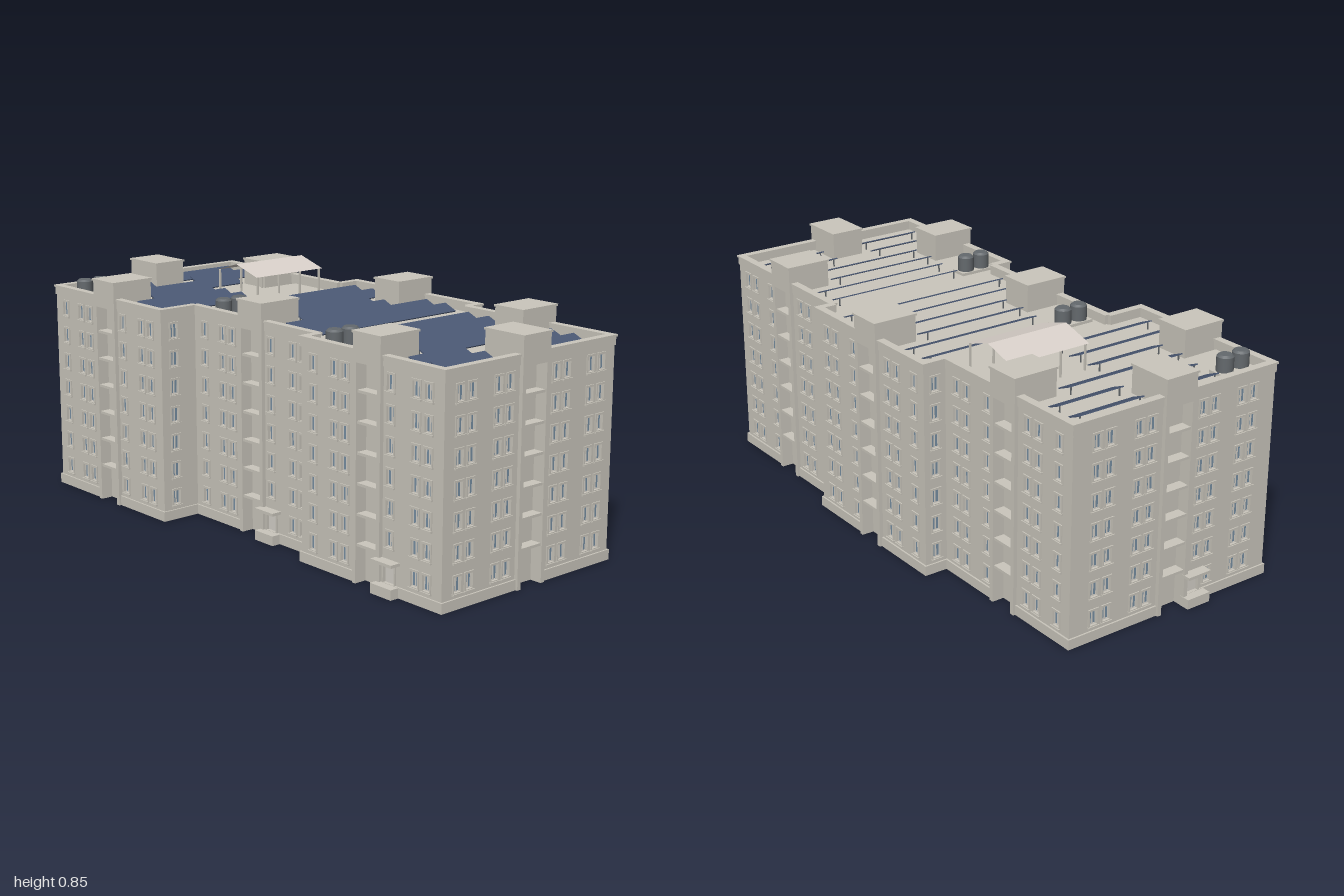
import * as THREE from 'three';
import { mergeGeometries } from 'three/addons/utils/BufferGeometryUtils.js';

const mat = (name, color, side = THREE.FrontSide) => {
  const m = new THREE.MeshStandardMaterial({ color, side });
  m.name = name;
  return m;
};
const M = {
  wall: mat('warm grey render', 0xcac6bc, THREE.DoubleSide),
  frame: mat('pale window frame', 0xd4d0c8),
  glass: mat('blue grey glass', 0x7890a4, THREE.DoubleSide),
  solar: mat('navy solar panel', 0x4a5873),
  tank: mat('dark grey tank', 0x64696d),
  canopy: mat('pale canopy', 0xd9d1ca, THREE.DoubleSide),
};

const TOP = 0.76, ROOF = 0.72, FLOORS = 7, FLOOR_H = 0.1, FIRST = 0.079;
const OPEN_W = 0.03, OPEN_H = 0.05;      // window opening
const BAY = 0.047, PIER = 0.0155, NICHE = 0.03; // half bay width, pier width, niche depth

// box given by its lower and upper corners
function box(x0, x1, y0, y1, z0, z1) {
  return new THREE.BoxGeometry(x1 - x0, y1 - y0, z1 - z0)
    .translate((x0 + x1) / 2, (y0 + y1) / 2, (z0 + z1) / 2).toNonIndexed();
}
function add(parent, name, geos, material) {
  if (!geos.length) return;
  const mesh = new THREE.Mesh(geos.length > 1 ? mergeGeometries(geos) : geos[0], material);
  mesh.name = name;
  parent.add(mesh);
}
function rect(path, x0, x1, y0, y1) {
  path.moveTo(x0, y0); path.lineTo(x1, y0); path.lineTo(x1, y1); path.lineTo(x0, y1);
  path.closePath();
  return path;
}

// moulded surround running through the wall
function surround() {
  const s = rect(new THREE.Shape(), -0.0205, 0.0205, -0.029, 0.032);
  s.holes.push(rect(new THREE.Path(), -OPEN_W / 2, OPEN_W / 2, -OPEN_H / 2, OPEN_H / 2));
  const g = new THREE.ExtrudeGeometry(s, { depth: 0.014, bevelEnabled: false }).translate(0, 0, -0.01);
  return mergeGeometries([g, box(-0.022, 0.022, -0.034, -0.028, -0.002, 0.008)]);
}
const SURROUND = surround();
const SASH = mergeGeometries([
  box(-0.0025, 0.0025, -0.025, 0.025, -0.009, -0.005),
  box(-0.015, -0.0125, -0.025, 0.025, -0.009, -0.005),
  box(0.0125, 0.015, -0.025, 0.025, -0.009, -0.005),
  box(-0.015, 0.015, 0.0225, 0.025, -0.009, -0.005),
  box(-0.015, 0.015, -0.025, -0.0225, -0.009, -0.005),
]);
const PANES = new THREE.PlaneGeometry(OPEN_W, OPEN_H).translate(0, 0, -0.007).toNonIndexed();

// One facade. rot turns local +z outward, dist is the plane's distance from the
// origin, sign maps the world coordinate to local x.
function facade(name, rot, dist, sign, a, b, windows, tower = null, door = null) {
  const g = new THREE.Group();
  g.name = name;
  g.rotation.y = rot;
  const place = new THREE.Vector3(0, 0, dist).applyAxisAngle(new THREE.Vector3(0, 1, 0), rot);
  g.position.copy(place);
  const [u0, u1] = [sign * a, sign * b].sort((p, q) => p - q);
  const t = tower === null ? null : sign * tower;
  const d = door === null ? null : sign * door;
  const wins = windows.map(w => sign * w);
  const spans = t === null ? [[u0, u1]] : [[u0, t - BAY], [t + BAY, u1]];
  const walls = [], trims = [], sashes = [], panes = [], plinths = [];

  // pierced wall panels with their windows
  for (const [p, q] of spans) {
    const s = rect(new THREE.Shape(), p, q, 0, TOP - 0.005);
    for (const u of wins.filter(w => w > p && w < q)) {
      for (let k = 0; k < FLOORS; k++) {
        if (k === 0 && d !== null && Math.abs(u - d) < 0.02) continue;
        const y = FIRST + k * FLOOR_H;
        s.holes.push(rect(new THREE.Path(), u - OPEN_W / 2, u + OPEN_W / 2, y - OPEN_H / 2, y + OPEN_H / 2));
        trims.push(SURROUND.clone().translate(u, y, 0));
        sashes.push(SASH.clone().translate(u, y, 0));
        panes.push(PANES.clone().translate(u, y, 0));
      }
    }
    if (d !== null && d > p && d < q) {
      s.holes.push(rect(new THREE.Path(), d - 0.024, d + 0.024, 0.034, 0.1));
    }
    walls.push(new THREE.ShapeGeometry(s).toNonIndexed());
    plinths.push(box(p - (p === u0 ? 0.006 : 0), q + (q === u1 ? 0.006 : 0), 0, 0.035, -0.006, 0.006));
  }
  add(g, 'wall', walls, M.wall);
  add(g, 'windowSurrounds', trims, M.wall);
  add(g, 'windowFrames', sashes, M.frame);
  add(g, 'windowGlass', panes, M.glass);
  add(g, 'plinth', plinths, M.wall);
  add(g, 'parapet', [
    box(u0 - 0.003, u1 + 0.003, 0.725, 0.753, -0.018, 0.003),
    box(u0 - 0.007, u1 + 0.007, 0.753, TOP, -0.021, 0.007),
  ], M.wall);

  // stair tower: two piers, recessed back, floor slabs and roof house
  if (t !== null) {
    const parts = [
      box(t - BAY, t + BAY, 0, TOP, -NICHE - 0.003, -NICHE),
      box(t - BAY - PIER, t - BAY, 0, TOP, -NICHE, 0.014),
      box(t + BAY, t + BAY + PIER, 0, TOP, -NICHE, 0.014),
    ];
    for (let k = 0; k < FLOORS; k++) {
      const y = 0.124 + k * FLOOR_H;
      parts.push(box(t - BAY, t + BAY, y, y + 0.009, -NICHE, 0.009));
    }
    add(g, 'stairTower', parts, M.wall);
    add(g, 'stairRoofHouse', [
      box(t - 0.0625, t + 0.0625, ROOF, 0.813, -0.148, 0.014),
      box(t - 0.066, t + 0.066, 0.813, 0.82, -0.151, 0.018),
    ], M.wall);
  }
  // entrance with step, canopy and door
  if (d !== null) {
    add(g, 'porch', [
      box(d - 0.047, d + 0.047, 0, 0.034, 0, 0.038),
      box(d - 0.047, d + 0.047, 0.104, 0.114, 0, 0.038),
      box(d - 0.03, d - 0.024, 0.034, 0.104, -0.01, 0.005),
      box(d + 0.024, d + 0.03, 0.034, 0.104, -0.01, 0.005),
    ], M.wall);
    add(g, 'door', [box(d - 0.024, d + 0.024, 0.034, 0.1, -0.01, -0.006)], M.frame);
  }
  return g;
}

export function createModel() {
  const root = new THREE.Group();
  root.name = 'apartmentBuilding';
  const H = Math.PI / 2;
  // three staggered blocks, front to back
  const blocks = [
    { name: 'front', x0: -0.373, x1: 0.396, z0: 0.3325, z1: 0.98, t: 0.655, door: 0.75 },
    { name: 'middle', x0: -0.31, x1: 0.455, z0: -0.3125, z1: 0.3325, t: 0.008, door: 0.103 },
    { name: 'back', x0: -0.457, x1: 0.37, z0: -0.962, z1: -0.3125, t: -0.635, door: null },
  ];
  const sideWin = [0.26, 0.207, 0.095, -0.112, -0.165, -0.265];
  const endWin = [0.105, 0.155, 0.269, 0.32].flatMap(v => [v, -v]);

  for (const b of blocks) {
    const win = sideWin.map(o => b.t + o);
    root.add(facade(b.name + 'BlockLeftWall', H, b.x1, -1, b.z0, b.z1, win, b.t));
    root.add(facade(b.name + 'BlockRightWall', -H, -b.x0, 1, b.z0, b.z1, win, b.t, b.door));
    const roof = new THREE.PlaneGeometry(b.x1 - b.x0, b.z1 - b.z0).rotateX(-H)
      .translate((b.x0 + b.x1) / 2, ROOF, (b.z0 + b.z1) / 2);
    add(root, b.name + 'BlockRoof', [roof], M.wall);
  }
  const [F, C, B] = blocks;
  root.add(facade('frontWall', 0, F.z1, 1, F.x0, F.x1, endWin.map(o => 0.012 + o), 0.012));
  root.add(facade('backWall', Math.PI, -B.z0, -1, B.x0, B.x1, endWin.map(o => -0.045 + o), -0.045, -0.138));
  // returns where the blocks step in and out
  root.add(facade('frontReturnLeft', 0, C.z1, 1, F.x1, C.x1, [0.422]));
  root.add(facade('frontReturnRight', 0, B.z1, 1, B.x0, C.x0, [-0.403]));
  root.add(facade('backReturnRight', Math.PI, -F.z0, -1, F.x0, C.x0, [-0.341]));
  root.add(facade('backReturnLeft', Math.PI, -C.z0, -1, B.x1, C.x1, [0.412]));

  // tilted solar rows: z, then x ranges
  const rows = [
    [-0.884, [-0.26, -0.135], [0.05, 0.31]], [-0.788, [-0.26, -0.135], [0.05, 0.31]],
    [-0.693, [-0.28, 0.19]], [-0.598, [-0.28, -0.005]], [-0.503, [-0.4, -0.005]], [-0.407, [-0.4, -0.005]],
    [-0.236, [-0.115, 0.4]], [-0.14, [-0.115, 0.4]], [-0.047, [-0.13, 0.28]],
    [0.048, [-0.13, 0.28]], [0.142, [-0.255, 0.4]], [0.236, [-0.255, 0.4]],
    [0.407, [-0.175, 0.34]], [0.502, [-0.175, 0.34]], [0.596, [-0.19, 0.22]], [0.69, [-0.19, 0.22]],
    [0.785, [-0.31, -0.075], [0.105, 0.34]], [0.88, [-0.31, -0.075], [0.105, 0.34]],
  ];
  const panels = [], legs = [];
  for (const [z, ...ranges] of rows) for (const [x0, x1] of ranges) {
    panels.push(box(x0, x1, -0.002, 0.002, -0.028, 0.028).rotateX(0.4).translate(0, 0.74, z));
    for (const x of [x0 + 0.01, x1 - 0.014]) legs.push(box(x, x + 0.004, ROOF, 0.746, z - 0.022, z - 0.018));
  }
  add(root, 'solarPanels', panels, M.solar);
  add(root, 'solarLegs', legs, M.tank);

  // pairs of water tanks on pads
  const tanks = [], pads = [];
  for (const [x, z] of [[-0.361, -0.866], [-0.215, -0.226], [-0.275, 0.42]]) {
    pads.push(box(x - 0.07, x + 0.07, ROOF, 0.73, z - 0.033, z + 0.033));
    for (const s of [-1, 1]) {
      tanks.push(new THREE.CylinderGeometry(0.029, 0.029, 0.05, 20).translate(x + s * 0.034, 0.755, z));
      tanks.push(new THREE.CylinderGeometry(0.022, 0.029, 0.007, 20).translate(x + s * 0.034, 0.7835, z));
    }
  }
  add(root, 'waterTanks', tanks, M.tank);
  add(root, 'tankPads', pads, M.wall);

  // open roof shelter: thin gabled sheet on posts
  const slope = (z0, y0, z1, y1) => {
    const len = Math.hypot(z1 - z0, y1 - y0);
    return new THREE.PlaneGeometry(0.314, len).rotateX(-H).rotateX(Math.atan2(y0 - y1, z1 - z0))
      .translate(0.162, (y0 + y1) / 2, (z0 + z1) / 2);
  };
  add(root, 'shelterRoof', [slope(-0.59, 0.812, -0.473, 0.847), slope(-0.473, 0.847, -0.356, 0.812)], M.canopy);
  const posts = [];
  for (const x of [0.015, 0.115, 0.215, 0.308]) for (const z of [-0.583, -0.363]) {
    posts.push(box(x - 0.003, x + 0.003, ROOF, 0.813, z - 0.003, z + 0.003));
  }
  add(root, 'shelterPosts', posts, M.wall);
  return root;
}
